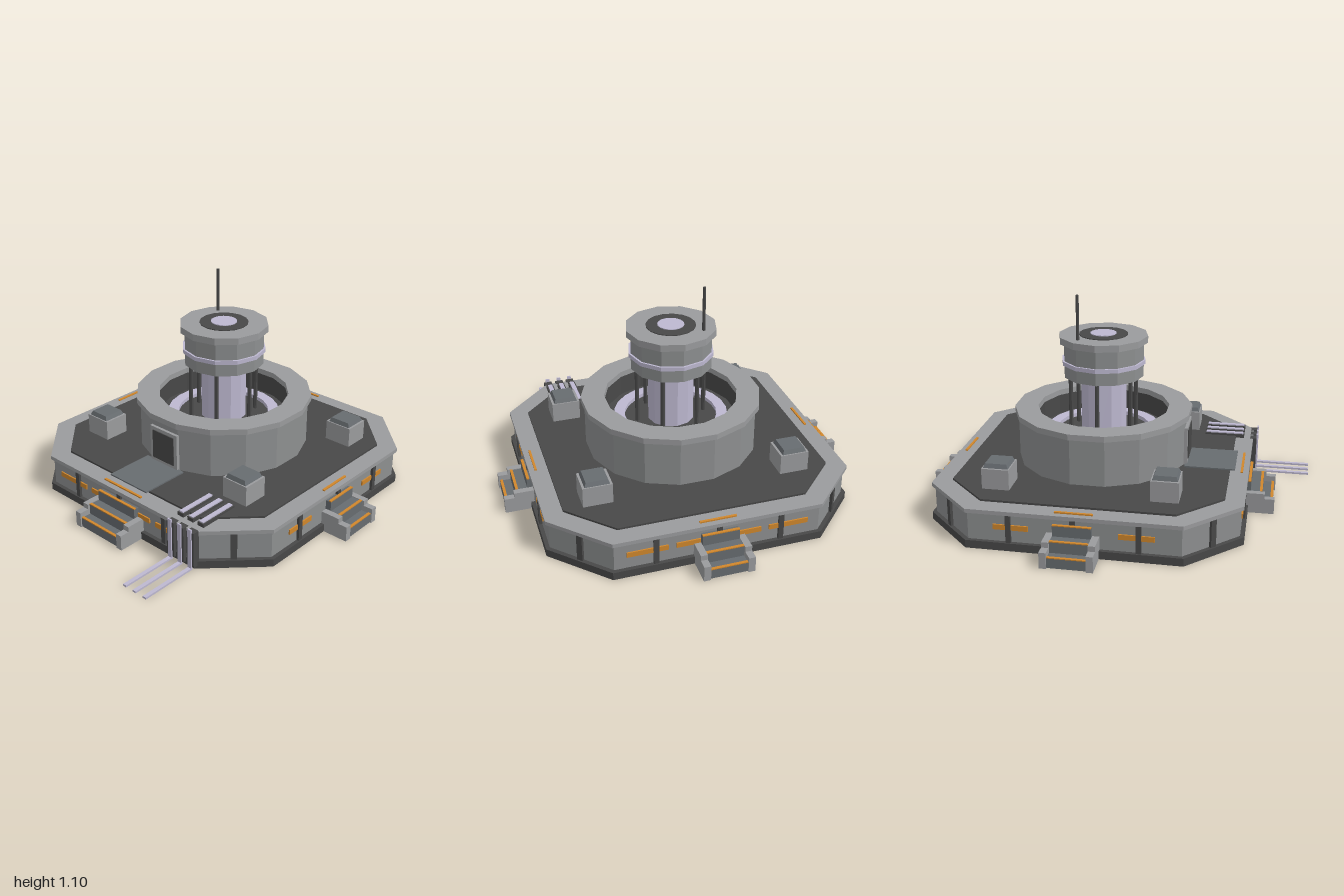
import * as THREE from 'three';

const mat = (name, color) => {
  const m = new THREE.MeshStandardMaterial({ color });
  m.name = name;
  return m;
};

export function createModel() {
  const light = mat('light grey', 0x9a9b9d);
  const wallGrey = mat('wall grey', 0x8d8f90);
  const steel = mat('steel', 0x676c70);
  const dark = mat('dark grey', 0x484848);
  const orange = mat('orange light', 0xd0872c);
  const lilac = mat('pale lilac', 0xbdb8d0);

  const model = new THREE.Group();
  model.name = 'outpost';
  const base = new THREE.Group();
  base.name = 'station';
  base.position.z = -0.09;
  model.add(base);

  // Adds a faceted mesh
  const add = (parent, name, geo, material, x = 0, y = 0, z = 0) => {
    const g = geo.index ? geo.toNonIndexed() : geo;
    g.computeVertexNormals();
    const mesh = new THREE.Mesh(g, material);
    mesh.name = name;
    mesh.position.set(x, y, z);
    parent.add(mesh);
    return mesh;
  };
  // Box given by its centre in x and z and its bottom and top in y
  const box = (parent, name, m, w, d, y0, y1, x = 0, z = 0) =>
    add(parent, name, new THREE.BoxGeometry(w, y1 - y0, d), m, x, (y0 + y1) / 2, z);
  const cyl = (parent, name, m, r, y0, y1, n = 12, x = 0, z = 0) =>
    add(parent, name, new THREE.CylinderGeometry(r, r, y1 - y0, n), m, x, (y0 + y1) / 2, z);
  // Slab with cut corners: half width h, corner point c
  const slab = (name, m, h, c, y0, y1) => {
    const s = new THREE.Shape([[h, -c], [h, c], [c, h], [-c, h], [-h, c], [-h, -c], [-c, -h], [c, -h]]
      .map(p => new THREE.Vector2(...p)));
    const g = new THREE.ExtrudeGeometry(s, { depth: y1 - y0, bevelEnabled: false });
    g.rotateX(-Math.PI / 2);
    add(base, name, g, m, 0, y0, 0);
  };
  // Closed ring turned from a profile of [radius, height] points
  const ring = (name, m, pts, n = 16) => {
    const p = [...pts, pts[0]].map(q => new THREE.Vector2(...q));
    add(base, name, new THREE.LatheGeometry(p, n, Math.PI / n), m);
  };

  // Platform
  slab('plinth', dark, 0.78, 0.52, 0, 0.04);
  slab('platformWall', wallGrey, 0.76, 0.51, 0.04, 0.18);
  slab('platformRim', light, 0.775, 0.517, 0.18, 0.2);
  slab('deck', dark, 0.68, 0.47, 0.2, 0.21);

  // Four sides: posts, light strips, stairs; and the posts on the cut corners
  for (let i = 0; i < 4; i++) {
    const side = new THREE.Group();
    side.name = ['frontSide', 'leftSide', 'backSide', 'rightSide'][i];
    side.rotation.y = i * Math.PI / 2;
    base.add(side);
    for (const x of [-0.31, 0, 0.31]) box(side, 'wallPost', dark, 0.025, 0.02, 0.04, 0.18, x, 0.764);
    const strips = i % 2 ? [-0.3, 0.3] : [-0.35, -0.11, 0.11, 0.35];
    for (const x of strips) box(side, 'lightStrip', orange, i % 2 ? 0.17 : 0.2, 0.008, 0.102, 0.128, x, 0.763);

    const half = i === 0 ? 0.13 : 0.092; // stair half width
    const steps = [[0.05, 0.905], [0.103, 0.85], [0.155, 0.79]];
    for (const [top, end] of steps) {
      box(side, 'step', steel, half * 2, end - 0.75, 0.002, top, 0, (end + 0.75) / 2);
      box(side, 'stepEdge', orange, half * 2, 0.014, top, top + 0.005, 0, end - 0.007);
    }
    box(side, 'rimStrip', orange, half * 2, 0.012, 0.2, 0.207, 0, 0.74);
    for (const s of [-1, 1]) {
      box(side, 'stairCheek', light, 0.034, 0.15, 0, 0.08, s * (half + 0.017), 0.837);
      box(side, 'stairCheekUpper', light, 0.034, 0.1, 0.08, 0.107, s * (half + 0.017), 0.812);
    }

    const corner = new THREE.Group();
    corner.name = 'cutCorner';
    corner.rotation.y = (i + 0.5) * Math.PI / 2;
    base.add(corner);
    box(corner, 'cornerPost', dark, 0.03, 0.02, 0.04, 0.18, 0, 0.902);
  }

  // Roof units near the corners
  for (const [x, z] of [[-0.49, -0.43], [0.51, -0.41], [-0.49, 0.4], [0.49, 0.4]]) {
    box(base, 'roofUnit', light, 0.148, 0.137, 0.21, 0.315, x, z);
    const lid = new THREE.CylinderGeometry(0.076, 0.088, 0.022, 4).rotateY(Math.PI / 4);
    add(base, 'roofUnitLid', lid, steel, x, 0.326, z);
  }

  // Round hall with an open court
  ring('hallWall', wallGrey, [[0.448, 0.21], [0.448, 0.45], [0.36, 0.45], [0.36, 0.21]]);
  ring('hallRim', light, [[0.466, 0.45], [0.466, 0.48], [0.345, 0.48], [0.345, 0.45]]);
  ring('courtLining', dark, [[0.36, 0.33], [0.36, 0.45], [0.345, 0.45], [0.345, 0.33]]);
  cyl(base, 'courtFloor', dark, 0.35, 0.33, 0.345, 16);
  ring('courtGlowRing', lilac, [[0.297, 0.345], [0.297, 0.365], [0.24, 0.365], [0.24, 0.345]], 24);

  // Door and the plate in front of it
  box(base, 'doorFrame', light, 0.186, 0.05, 0.21, 0.41, 0, 0.43);
  box(base, 'door', dark, 0.146, 0.008, 0.235, 0.392, 0, 0.456);
  box(base, 'entryPlate', steel, 0.256, 0.26, 0.21, 0.217, 0, 0.575);

  // Tower
  cyl(base, 'towerCore', lilac, 0.12, 0.345, 0.65, 12);
  for (let i = 0; i < 6; i++) {
    const a = i * Math.PI / 3;
    cyl(base, 'towerPole', dark, 0.011, 0.345, 0.65, 6, 0.18 * Math.cos(a), 0.18 * Math.sin(a));
  }
  cyl(base, 'towerHead', wallGrey, 0.21, 0.65, 0.83);
  cyl(base, 'towerBand', lilac, 0.22, 0.717, 0.738);
  cyl(base, 'towerRim', light, 0.232, 0.83, 0.865);
  cyl(base, 'towerHatchRing', dark, 0.127, 0.865, 0.869, 16);
  cyl(base, 'towerLamp', lilac, 0.068, 0.869, 0.873, 16);
  cyl(base, 'antenna', dark, 0.008, 0.865, 1.095, 6, -0.137, -0.105);

  // Three conduits: across the deck, down the wall and out over the ground
  for (const x of [0.38, 0.443, 0.508]) {
    box(base, 'deckChannel', dark, 0.038, 0.215, 0.2, 0.219, x, 0.617);
    box(base, 'deckConduit', lilac, 0.024, 0.205, 0.219, 0.225, x, 0.617);
    box(base, 'wallChannel', dark, 0.044, 0.035, 0.015, 0.203, x, 0.777);
    box(base, 'wallConduit', lilac, 0.022, 0.008, 0.005, 0.22, x, 0.797);
    box(base, 'groundConduit', lilac, 0.02, 0.3, 0, 0.01, x, 0.94);
  }
  return model;
}
